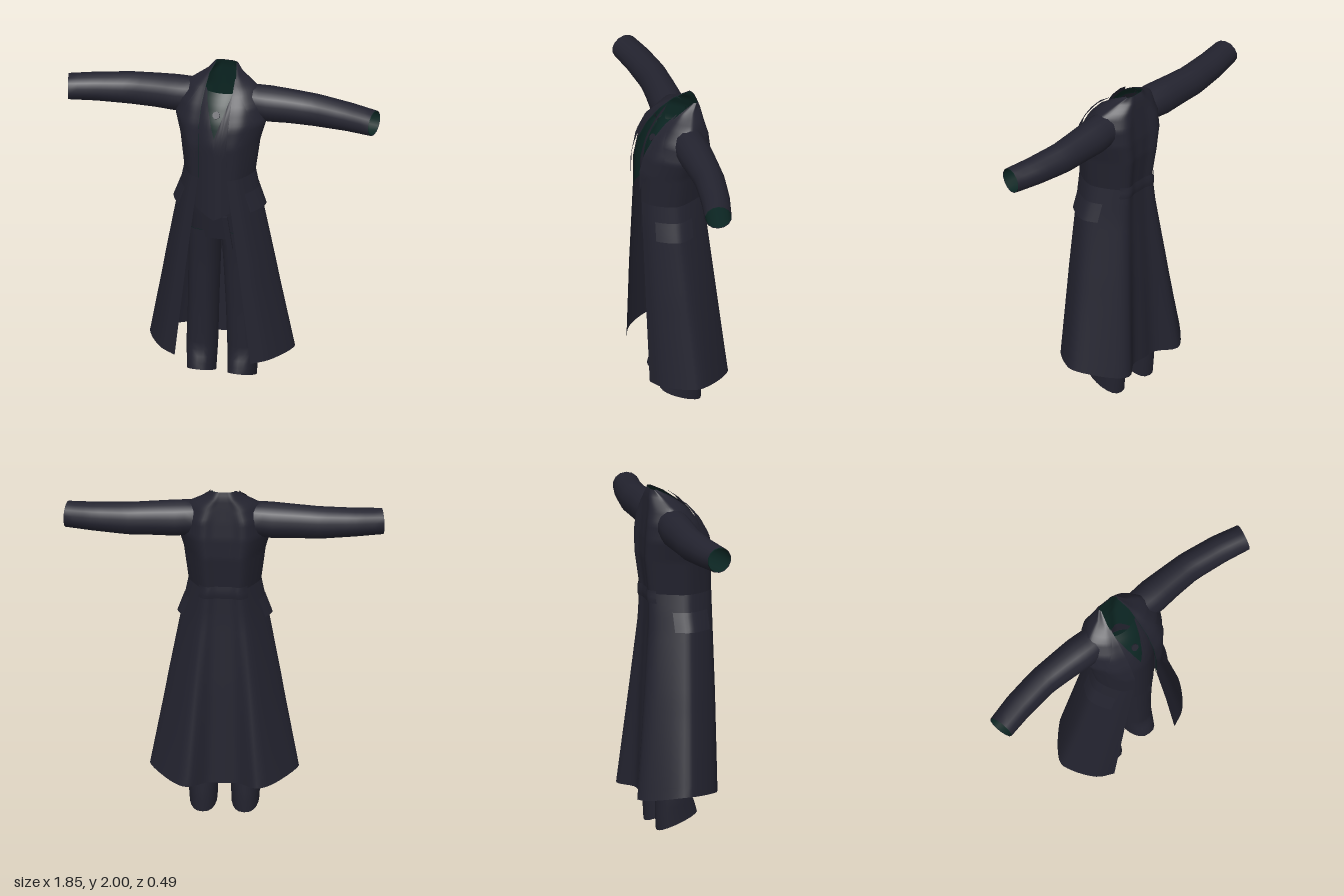
import * as THREE from 'three';
import { mergeVertices } from 'three/addons/utils/BufferGeometryUtils.js';

const CLOTH = 0x23232f, LINING = 0x0c2623;

// Linear interpolation in a table of rows sorted by their first value
function rowAt(rows, k) {
  let i = 0;
  while (i < rows.length - 2 && k > rows[i + 1][0]) i++;
  const a = rows[i], b = rows[i + 1];
  const t = THREE.MathUtils.clamp((k - a[0]) / (b[0] - a[0]), 0, 1);
  return a.map((v, n) => v + (b[n] - v) * t);
}

// Grid surface: u runs to the right and v upwards when seen from outside
function grid(fn, nu, nv, flip = false) {
  const pos = [], idx = [];
  for (let j = 0; j <= nv; j++)
    for (let i = 0; i <= nu; i++) pos.push(...fn(i / nu, j / nv));
  for (let j = 0; j < nv; j++)
    for (let i = 0; i < nu; i++) {
      const a = j * (nu + 1) + i, b = a + 1, c = b + nu + 1, d = a + nu + 1;
      idx.push(...(flip ? [a, c, b, a, d, c] : [a, b, c, a, c, d]));
    }
  let g = new THREE.BufferGeometry();
  g.setAttribute('position', new THREE.Float32BufferAttribute(pos, 3));
  g.setIndex(idx);
  g = mergeVertices(g, 1e-5);
  g.computeVertexNormals();
  return g;
}

// Coat levels: y, front edge x, front z, half width, back fold z, back centre z
const COAT = [
  [0.21, 0.225, 0.235, 0.42, -0.24, -0.17],
  [0.8, 0.16, 0.24, 0.32, -0.18, -0.15],
  [1.2, 0.11, 0.24, 0.245, -0.14, -0.13],
  [1.4, 0.085, 0.24, 0.205, -0.135, -0.125],
  [1.6, 0.085, 0.24, 0.23, -0.16, -0.15],
  [1.72, 0.09, 0.21, 0.262, -0.16, -0.15],
  [1.82, 0.09, 0.155, 0.25, -0.15, -0.14],
  [1.9, 0.085, 0.085, 0.2, -0.13, -0.13],
  [1.96, 0.08, 0.0, 0.105, -0.122, -0.122],
  [2.0, 0.06, -0.08, 0.065, -0.11, -0.11],
];
const HEM = [0.02, 0.035, 0.045, 0.045, 0.01, 0, 0, 0];

// Point on the coat: u goes from the left front edge round the back to the right one
function coatPoint(u, y) {
  const [, xe, zf, w, zb, zc] = rowAt(COAT, y);
  const z = t => zf + (zb - zf) * t;
  const half = [[xe, z(0)], [(xe + w) / 2, z(0.1)], [w * 0.97, z(0.35)], [w, z(0.55)],
    [w * 0.72, z(0.86)], [w * 0.48, z(1)], [w * 0.22, zc], [0, zc]];
  const drop = Math.max(0, 1 - (y - 0.21) / 0.5);
  const pts = half.map(([x, zz], i) => new THREE.Vector3(x, y + HEM[i] * drop, zz));
  for (let i = 6; i >= 0; i--) pts.push(new THREE.Vector3(-pts[i].x, pts[i].y, pts[i].z));
  return new THREE.CatmullRomCurve3(pts, false, 'catmullrom', 0.5).getPoint(u).toArray();
}

export function createModel() {
  const root = new THREE.Group();
  const cloth = new THREE.MeshStandardMaterial({ color: CLOTH });
  cloth.name = 'dark navy cloth';
  const clothThin = cloth;
  clothThin.side = THREE.DoubleSide;
  const lining = new THREE.MeshStandardMaterial({ color: LINING });
  lining.name = 'dark green lining';
  lining.side = THREE.DoubleSide;

  const add = (name, geo, mat = cloth) => {
    const m = new THREE.Mesh(geo, mat);
    m.name = name;
    root.add(m);
    return m;
  };
  // Cloth surface with a lining just inside it
  const lined = (name, fn, nu, nv, flip = false) => {
    const outer = grid(fn, nu, nv, flip);
    add(name, outer);
    const inner = outer.clone(), p = inner.attributes.position, n = inner.attributes.normal;
    for (let i = 0; i < p.count; i++)
      p.setXYZ(i, p.getX(i) - n.getX(i) * 0.004, p.getY(i) - n.getY(i) * 0.004, p.getZ(i) - n.getZ(i) * 0.004);
    add(name + 'Lining', inner, lining);
  };

  // Coat: skirt and lined upper part
  add('coatSkirt', grid((u, v) => coatPoint(u, 0.21 + v * 1.19), 56, 18));
  lined('coatBodice', (u, v) => coatPoint(u, 1.4 + v * 0.6), 56, 30);

  // Half belt across the back
  add('backBelt', grid((u, v) => {
    const p = coatPoint((4.2 + u * 5.6) / 14, 1.345 + v * 0.075);
    p[2] -= 0.012 * Math.sqrt(Math.sin(Math.PI * (0.1 + 0.8 * v)));
    return p;
  }, 16, 4));

  // Trousers: ring of y, low x, high x, back z, front z
  const tube = (rows, s, tilt) => (u, v) => {
    const [y, x0, x1, zb, zf] = rowAt(rows, rows[0][0] + v * (rows[rows.length - 1][0] - rows[0][0]));
    const a = u * Math.PI * 2, r = Math.pow(Math.abs(Math.sin(a)), 0.8) * Math.sign(Math.sin(a));
    const z = (zb + zf) / 2 + Math.cos(a) * (zf - zb) / 2;
    const x = (x0 + x1) / 2 + r * (x1 - x0) / 2;
    return [s * x, y + tilt * Math.max(0, 1 - y / 0.25) * (z + 0.1) / 0.24, z];
  };
  const LEG = [
    [0, 0.04, 0.2, -0.1, 0.14], [0.1, 0.037, 0.205, -0.105, 0.125], [0.2, 0.032, 0.212, -0.1, 0.1],
    [0.5, 0.024, 0.2, -0.1, 0.11], [0.8, 0.012, 0.195, -0.1, 0.13], [1.02, 0, 0.19, -0.1, 0.155],
  ];
  const HIPS = [
    [0.97, -0.18, 0.18, -0.1, 0.15], [1.2, -0.19, 0.19, -0.11, 0.19], [1.4, -0.17, 0.17, -0.11, 0.19],
  ];
  lined('trouserHips', tube(HIPS, 1, 0), 28, 6);

  // Waistcoat front with a V neck, following the coat front
  const frontZ = (x, y, inset) => rowAt(COAT, y)[2] - inset - 3 * x * x;
  add('waistcoat', grid((u, v) => {
    const x = (u - 0.5) * 0.28, ax = Math.abs(x);
    const low = 1.12 + ax * 0.5, top = 1.64 + 0.25 * Math.min(1, ax / 0.08);
    const y = low + (top - low) * v;
    return [x, y, frontZ(x, y, 0.025)];
  }, 28, 14), clothThin);

  // Shirt inside the V neck, with one button
  add('shirtFront', grid((u, v) => {
    const y = 1.6 + v * 0.27, x = (u - 0.5) * 0.18;
    return [x, y, frontZ(x, y, 0.045)];
  }, 10, 10), lining);
  const button = add('button', new THREE.CylinderGeometry(0.022, 0.022, 0.008, 12));
  button.position.set(0, 1.77, 0.15);
  button.rotation.x = 0.95;

  // Loose strap hanging at the waist
  const strap = add('strap', new THREE.BoxGeometry(0.03, 0.22, 0.012));
  strap.position.set(0.075, 1.03, 0.178);
  strap.rotation.set(0.1, 0, 0.12);

  // Sleeve rings: x, centre y, y radius, centre z, z radius
  const SLEEVE = [
    [0.17, 1.805, 0.1, -0.015, 0.095], [0.27, 1.798, 0.106, -0.02, 0.1], [0.4, 1.796, 0.1, -0.024, 0.092],
    [0.55, 1.79, 0.095, -0.025, 0.086], [0.75, 1.786, 0.083, 0.002, 0.082], [0.907, 1.782, 0.075, 0.036, 0.076],
  ];
  // Lapel outline: y, outer edge along the coat
  const LAPEL = [[1.47, 0.02], [1.6, 0.75], [1.725, 1.5], [1.82, 1.05], [1.9, 0.6], [1.95, 0.1]];

  for (const s of [1, -1]) {
    const side = s > 0 ? 'left' : 'right';
    const along = (i0, i1, u) => (s > 0 ? i0 + (i1 - i0) * u : 14 - i1 + (i1 - i0) * u) / 14;

    lined(side + 'TrouserLeg', tube(LEG, s, 0.1), 20, 16, s < 0);

    lined(side + 'Sleeve', (u, v) => {
      const [x, yc, ry, zc, rz] = rowAt(SLEEVE, 0.17 + v * 0.737);
      const a = u * Math.PI * 2, dz = Math.sin(a) * rz;
      return [s * (x - 0.22 * dz * v), yc + Math.cos(a) * ry, zc + dz];
    }, 14, 14, s < 0);

    add(side + 'Lapel', grid((u, v) => {
      const y = 1.47 + v * 0.48;
      const [x, py, z] = coatPoint(along(0, rowAt(LAPEL, y)[1], u), y);
      return [x, py + 0.006, z + 0.014];
    }, 8, 20), clothThin);

    add(side + 'PocketFlap', grid((u, v) => {
      const [x, y, z] = coatPoint(along(1.2, 3.5, u), 1.19 + v * 0.11);
      const out = 0.003 + 0.018 * (1 - v);
      return [x + s * out, y, z + out * 0.3];
    }, 10, 5), clothThin);
  }
  return root;
}
